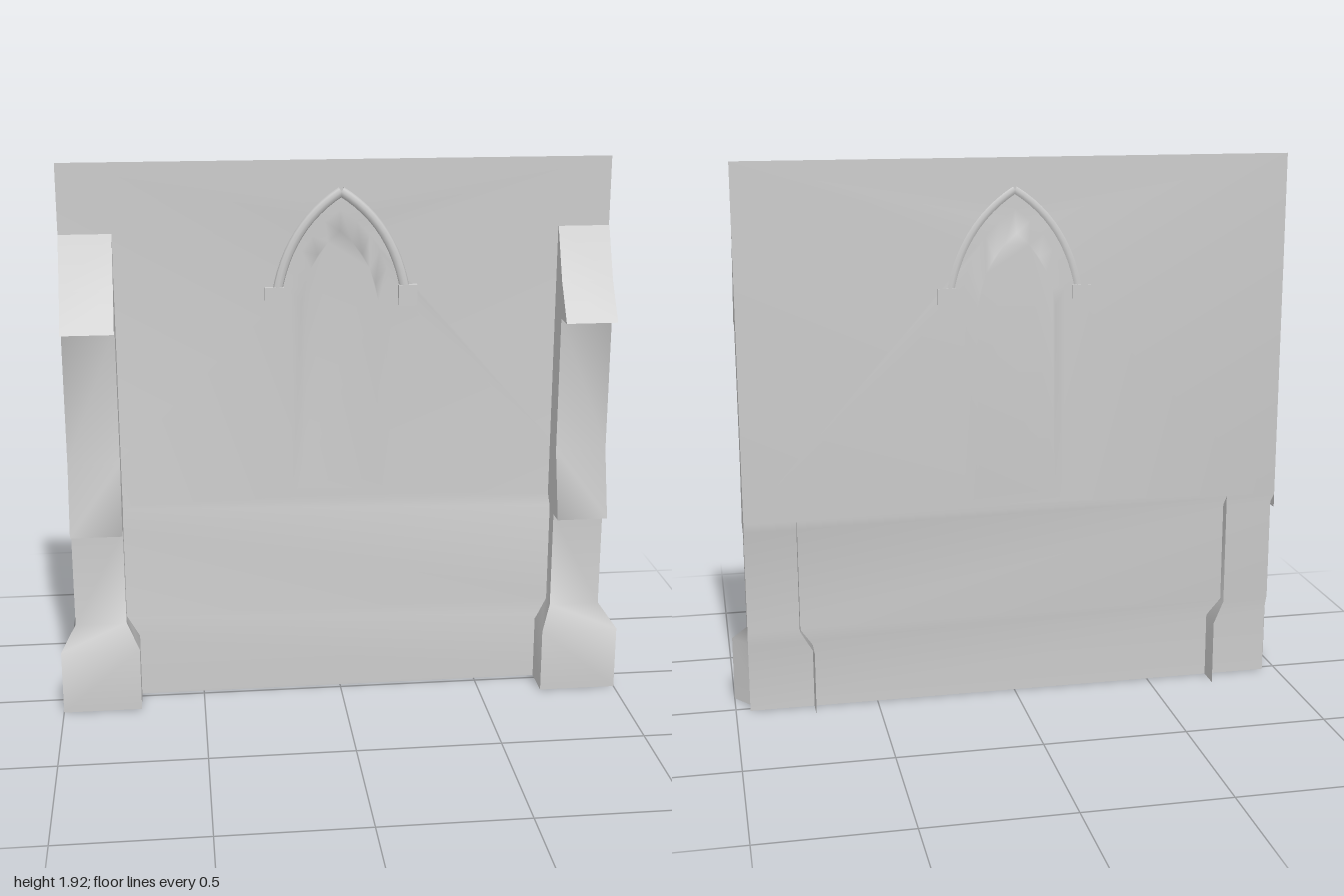
import * as THREE from 'three';
import { mergeGeometries, mergeVertices } from 'three/addons/utils/BufferGeometryUtils.js';

const material = new THREE.MeshStandardMaterial({ color: 0xcccccc, side: THREE.DoubleSide });

function mesh(name, geometry) {
  const m = new THREE.Mesh(geometry, material);
  m.name = name;
  return m;
}

// Sheet through rows of points: rows run top to bottom, points left to right
function sheet(rows) {
  const n = rows[0].length;
  const index = [];
  for (let i = 0; i < rows.length - 1; i++) {
    for (let j = 0; j < n - 1; j++) {
      const a = i * n + j, b = a + n;
      index.push(a, b, b + 1, a, b + 1, a + 1);
    }
  }
  const g = new THREE.BufferGeometry();
  g.setAttribute('position', new THREE.Float32BufferAttribute(rows.flat(2), 3));
  g.setIndex(index);
  g.computeVertexNormals();
  return g;
}

const WALL_Z = -0.075, NICHE_Z = -0.105, NICHE_X = 0.01;

// Pointed-arch outline, counter-clockwise from the lower left
function lancet(half, bottom, spring, apex) {
  const pts = [[-half, bottom], [half, bottom], [half, spring]];
  const arc = new THREE.QuadraticBezierCurve(
    new THREE.Vector2(half, spring),
    new THREE.Vector2(half * 0.85, spring + (apex - spring) * 0.65),
    new THREE.Vector2(0, apex));
  const side = arc.getPoints(5).slice(1).map(p => [p.x, p.y]);
  pts.push(...side);
  for (const [x, y] of side.slice(0, -1).reverse()) pts.push([-x, y]);
  pts.push([-half, spring]);
  return pts.map(([x, y]) => new THREE.Vector2(x + NICHE_X, y));
}

function createWall() {
  const opening = lancet(0.175, 0.72, 1.48, 1.75);
  const back = lancet(0.135, 0.77, 1.42, 1.67);

  // Upper wall with the niche opening
  const shape = new THREE.Shape([[-0.95, 0.7], [0.95, 0.7], [0.95, 1.92], [-0.95, 1.92]]
    .map(p => new THREE.Vector2(...p)));
  shape.holes.push(new THREE.Path(opening));
  const upper = new THREE.ShapeGeometry(shape).translate(0, 0, WALL_Z);

  // Niche: sloping reveal and back panel
  const ring = (pts, z) => [...pts, pts[0]].map(p => [p.x, p.y, z]);
  const reveal = sheet([ring(back, NICHE_Z), ring(opening, WALL_Z)]);
  const panel = new THREE.ShapeGeometry(new THREE.Shape(back)).translate(0, 0, NICHE_Z);

  // Ledge, lower wall and plinth
  const lower = sheet([[0.7, WALL_Z], [0.66, -0.04], [0.3, -0.04], [0.24, -0.02], [0, -0.02]]
    .map(([y, z]) => [[-0.95, y, z], [0.95, y, z]]));

  const parts = [upper, reveal, panel, lower];
  for (const g of parts) {
    g.deleteAttribute('uv');
    g.deleteAttribute('normal');
  }
  const wall = mergeVertices(mergeGeometries(parts), 1e-4);
  wall.computeVertexNormals();
  return mesh('wall', wall);
}

// Moulding over the niche with its two end blocks
function createArch() {
  const group = new THREE.Group();
  group.name = 'archMoulding';
  const v = (x, y) => new THREE.Vector3(x, y, 0);
  for (const s of [-1, 1]) {
    const curve = new THREE.QuadraticBezierCurve3(v(s * 0.222, 1.47), v(s * 0.18, 1.7), v(0, 1.812));
    const tube = mesh('archRib', new THREE.TubeGeometry(curve, 12, 0.017, 8));
    tube.scale.z = 0.7;
    const block = mesh('archBlock', new THREE.BoxGeometry(0.066, 0.072, 0.028));
    block.position.set(s * 0.232, 1.45, 0);
    group.add(tube, block);
  }
  group.position.set(NICHE_X, 0, -0.067);
  return group;
}

function createButtress() {
  const group = new THREE.Group();
  group.name = 'buttress';
  // y, front z, inner x, inner back z, outer x, outer back x, outer back z
  const shaft = [0.77, -0.075, 0.95, 0.95, -0.075];
  const low = [0.77, -0.075, 0.95, 0.95, -0.04];
  const foot = [0.725, -0.105, 1.0, 0.91, -0.015];
  const rows = [
    [1.68, -0.07, ...shaft],
    [1.5, 0.01, ...shaft],
    [1.37, 0.1, ...shaft],
    [1.37, 0.02, ...shaft],
    [0.89, 0.02, ...shaft],
    [0.65, 0.085, ...shaft],
    [0.65, 0.02, ...low],
    [0.3, 0.02, ...low],
    [0.23, 0.105, ...foot],
    [0, 0.105, ...foot],
  ];
  const front = rows.map(([y, z, xi, , xo]) => [[xi, y, z], [xo, y, z]]);
  const inner = rows.map(([y, z, xi, zi]) => [[xi, y, zi], [xi, y, z]]);
  const outer = rows.map(([y, z, , , xo, xb, zb]) => [[xo, y, z], [xb, y, zb]]);
  group.add(
    mesh('buttressCap', sheet(front.slice(0, 3))),
    mesh('buttressShaft', sheet(front.slice(2, 7))),
    mesh('buttressBase', sheet(front.slice(6))),
    mesh('buttressInnerSide', sheet(inner)),
    mesh('buttressOuterSide', sheet(outer)));
  return group;
}

export function createModel() {
  const model = new THREE.Group();
  model.name = 'wallSection';
  model.add(createWall(), createArch());
  for (const s of [1, -1]) {
    const buttress = createButtress();
    buttress.name = s > 0 ? 'leftButtress' : 'rightButtress';
    buttress.scale.x = s;
    model.add(buttress);
  }
  return model;
}
